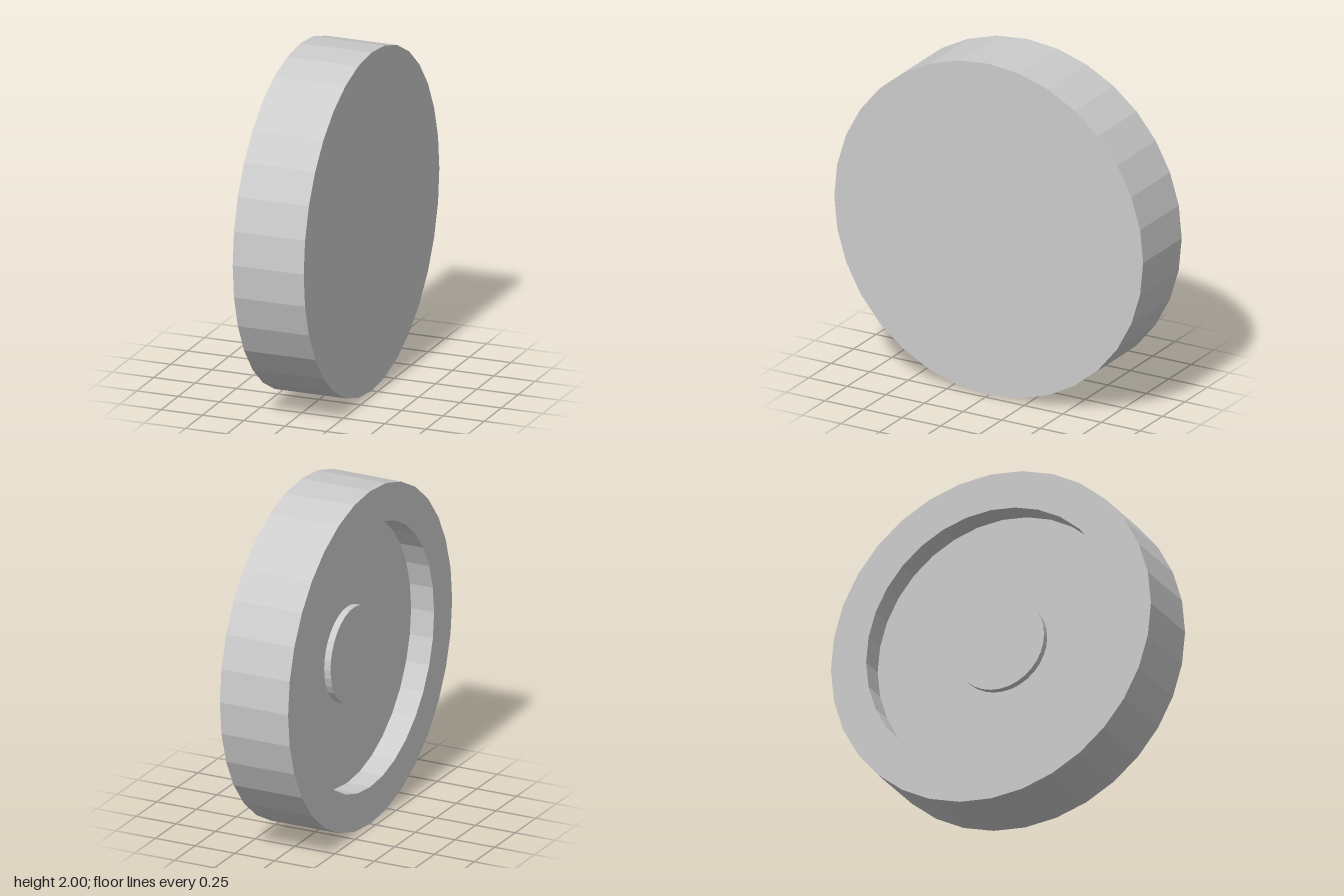
import * as THREE from 'three';

const SIDES = 32;
const HALF_WIDTH = 0.215;
const FLOOR = 0.07; // height of the recess floor along the axle
const HUB_TOP = 0.11;
const HUB_RADIUS = 0.28;
const RECESS_RADIUS = 0.78;

const material = new THREE.MeshStandardMaterial({ color: 0xcccccc, flatShading: true });

// Faceted part turned from a [radius, axial] profile
function turned(name, profile) {
  const points = profile.map(([r, a]) => new THREE.Vector2(r, a));
  const mesh = new THREE.Mesh(new THREE.LatheGeometry(points, SIDES), material);
  mesh.name = name;
  return mesh;
}

export function createModel() {
  const wheel = new THREE.Group();
  wheel.name = 'wheel';

  // Plain closed face, tread, rim and recess
  wheel.add(turned('tyre', [
    [0, -HALF_WIDTH], [1, -HALF_WIDTH], [1, HALF_WIDTH],
    [RECESS_RADIUS, HALF_WIDTH], [RECESS_RADIUS, FLOOR], [HUB_RADIUS, FLOOR],
  ]));

  // Low round boss in the middle of the recess
  wheel.add(turned('hub', [[HUB_RADIUS, FLOOR], [HUB_RADIUS, HUB_TOP], [0, HUB_TOP]]));

  // Axle along x, recess towards -x, standing on the ground
  wheel.rotation.z = Math.PI / 2;
  wheel.position.y = 1;

  const model = new THREE.Group();
  model.add(wheel);
  return model;
}
